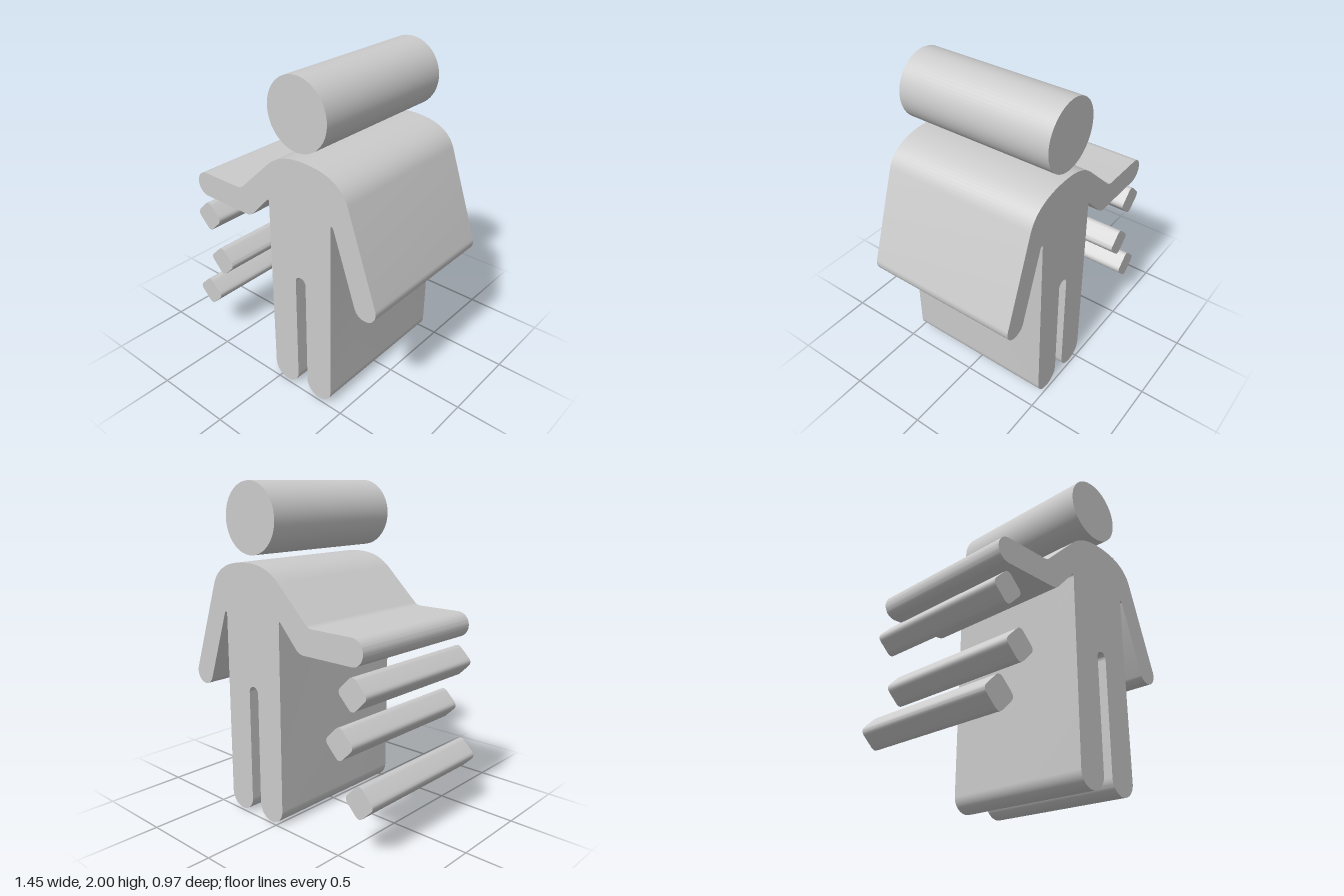
import * as THREE from 'three';
import { toCreasedNormals } from 'three/addons/utils/BufferGeometryUtils.js';

const DEPTH = 0.97;
const material = new THREE.MeshStandardMaterial({ color: 0xcccccc });

// Extrude a flat outline through the full depth, centred on z = 0
function slab(name, shape, curveSegments = 16) {
  const geo = new THREE.ExtrudeGeometry(shape, { depth: DEPTH, bevelEnabled: false, curveSegments });
  geo.translate(0, 0, -DEPTH / 2);
  const mesh = new THREE.Mesh(toCreasedNormals(geo, 0.6), material);
  mesh.name = name;
  return mesh;
}

function bodyShape() {
  const s = new THREE.Shape();
  // right leg, outer side and foot
  s.moveTo(-0.04, 1.225);
  s.lineTo(-0.04, 0.095);
  s.absarc(0.055, 0.095, 0.095, Math.PI, Math.PI * 2, false);
  // gap between the legs
  s.lineTo(0.15, 0.78);
  s.absarc(0.1875, 0.78, 0.0375, Math.PI, 0, true);
  // left leg
  s.lineTo(0.225, 0.095);
  s.absarc(0.318, 0.095, 0.093, Math.PI, Math.PI * 2, false);
  // left armpit and hanging arm
  s.lineTo(0.411, 1.225);
  s.bezierCurveTo(0.411, 1.245, 0.426, 1.245, 0.433, 1.225);
  s.lineTo(0.581, 0.799);
  s.absarc(0.65, 0.823, 0.073, 0.337 + Math.PI, 0.337 + Math.PI * 2, false);
  s.lineTo(0.525, 1.395);
  // shoulders
  s.bezierCurveTo(0.485, 1.505, 0.365, 1.545, 0.22, 1.545);
  s.bezierCurveTo(0.11, 1.545, 0.035, 1.52, -0.035, 1.458);
  // raised right arm, bent at the elbow
  s.lineTo(-0.25, 1.255);
  s.quadraticCurveTo(-0.27, 1.235, -0.295, 1.235);
  s.lineTo(-0.575, 1.235);
  s.absarc(-0.575, 1.158, 0.077, Math.PI / 2, Math.PI * 1.5, false);
  s.lineTo(-0.23, 1.081);
  s.quadraticCurveTo(-0.2, 1.081, -0.175, 1.105);
  s.lineTo(-0.06, 1.228);
  s.bezierCurveTo(-0.049, 1.242, -0.04, 1.242, -0.04, 1.225);
  return s;
}

// Square standing on one corner, with rounded corners
function diamondShape(cx, cy) {
  const r = 0.106, t = 0.76;
  const s = new THREE.Shape();
  const corner = (i) => [Math.cos(i * Math.PI / 2) * r, Math.sin(i * Math.PI / 2) * r];
  const mix = (a, b) => [cx + a[0] * t + b[0] * (1 - t), cy + a[1] * t + b[1] * (1 - t)];
  s.moveTo(...mix(corner(0), corner(3)));
  for (let i = 0; i < 4; i++) {
    const c = corner(i);
    if (i) s.lineTo(...mix(c, corner(i + 3)));
    s.quadraticCurveTo(cx + c[0], cy + c[1], ...mix(c, corner(i + 1)));
  }
  s.closePath();
  return s;
}

export function createModel() {
  const group = new THREE.Group();
  group.name = 'figureDroppingPieces';

  group.add(slab('body', bodyShape()));

  const head = new THREE.Mesh(new THREE.CylinderGeometry(0.205, 0.205, DEPTH, 64), material);
  head.rotation.x = Math.PI / 2;
  head.position.set(0.185, 1.795, 0);
  head.name = 'head';
  group.add(head);

  // falling pieces below the outstretched hand
  [[-0.582, 0.935], [-0.492, 0.642], [-0.635, 0.35]].forEach(([x, y], i) => {
    group.add(slab('fallingPiece' + (i + 1), diamondShape(x, y), 6));
  });
  return group;
}
